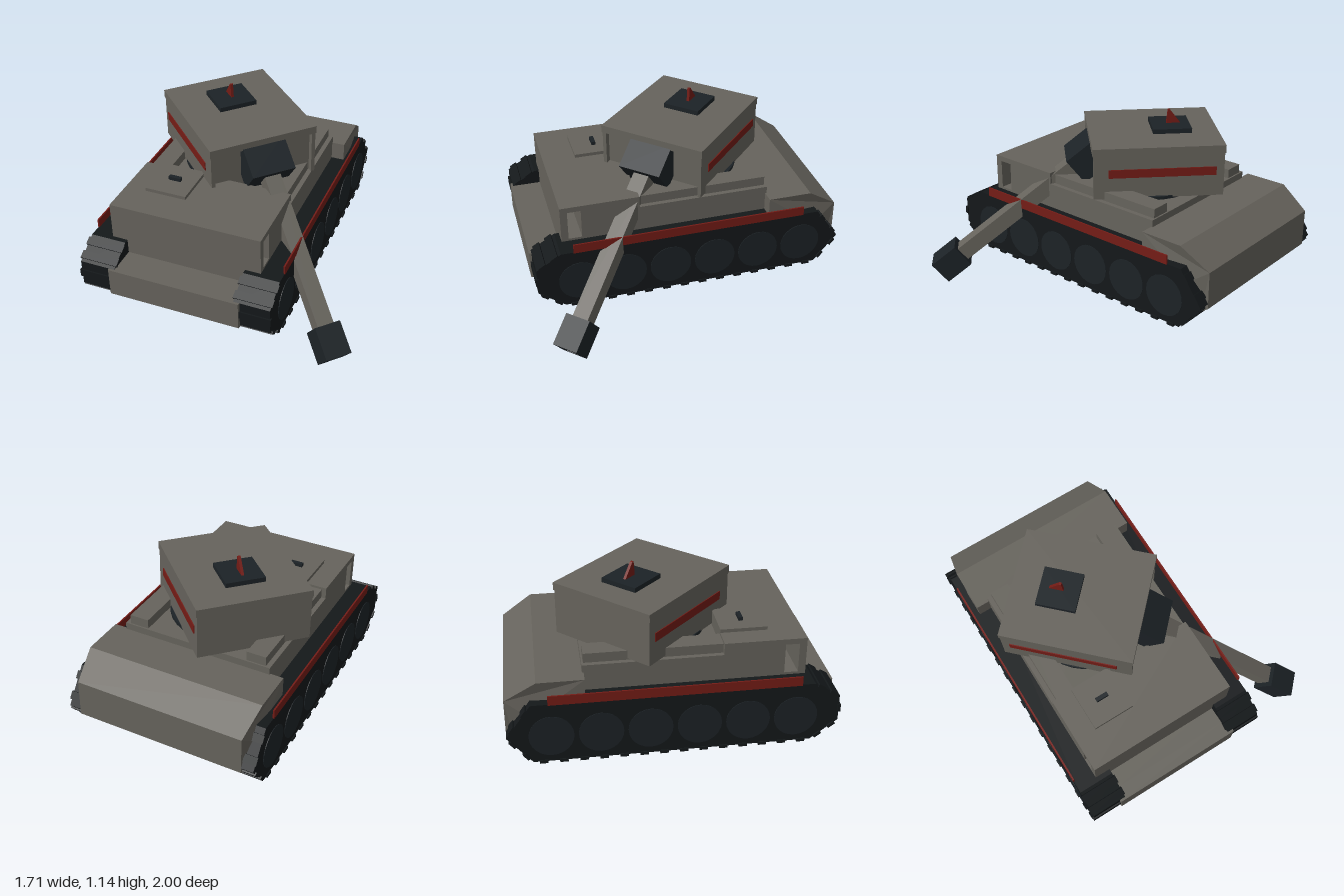
import * as THREE from 'three';

const paint = (color) => new THREE.MeshStandardMaterial({ color, flatShading: true });

export function createModel() {
  const armour = paint(0x66635c), dark = paint(0x1c2226), black = paint(0x14181a), red = paint(0x741c16);
  const root = new THREE.Group();
  root.name = 'tank';
  const MID = -0.23; // centre line of the hull

  const add = (parent, name, geometry, material) => {
    const mesh = new THREE.Mesh(geometry, material);
    mesh.name = name;
    parent.add(mesh);
    return mesh;
  };
  // Box given by its limits on each axis
  const box = (parent, name, material, [x0, x1], [y0, y1], [z0, z1]) => {
    const mesh = add(parent, name, new THREE.BoxGeometry(x1 - x0, y1 - y0, z1 - z0), material);
    mesh.position.set((x0 + x1) / 2, (y0 + y1) / 2, (z0 + z1) / 2);
    return mesh;
  };
  const toPoints = (list) => list.map(([a, b]) => new THREE.Vector2(a, b));
  // Side profile in (z, y), extruded from x0 to x1
  const sideExtrude = (profile, x0, x1, hole) => {
    const shape = new THREE.Shape(toPoints(profile));
    if (hole) shape.holes.push(new THREE.Path(toPoints(hole)));
    const g = new THREE.ExtrudeGeometry(shape, { depth: x1 - x0, bevelEnabled: false });
    return g.rotateY(-Math.PI / 2).translate(x1, 0, 0);
  };

  // Hull: lower tub, upper deck with a slot behind the front plate
  const hull = new THREE.Group();
  hull.name = 'hull';
  root.add(hull);
  box(hull, 'lowerHull', armour, [-0.63, 0.17], [0.235, 0.52], [-0.95, 0.8]);
  add(hull, 'upperHull', sideExtrude(
    [[0.8, 0.42], [0.8, 0.755], [0.3, 0.755], [0.3, 0.68], [-0.54, 0.68], [-0.54, 0.42]], -0.72, 0.26,
    [[0.67, 0.53], [0.755, 0.53], [0.755, 0.72], [0.67, 0.72]]), armour);

  // Rear engine block, narrowing towards the back
  const rear = sideExtrude(
    [[-0.53, 0.45], [-0.53, 0.635], [-0.81, 0.635], [-1, 0.51], [-1, 0.27], [-0.95, 0.235], [-0.85, 0.4]], -0.805, 0.345);
  const p = rear.attributes.position;
  for (let i = 0; i < p.count; i++) {
    if (p.getZ(i) < -0.9) p.setX(i, MID + (p.getX(i) - MID) * 0.945);
  }
  rear.computeVertexNormals();
  add(hull, 'engineBlock', rear, armour);

  // Front bumper, flared past the tracks and tapering downwards
  const bumperShape = new THREE.Shape(toPoints(
    [[-0.39, -0.78], [0.39, -0.78], [0.39, -0.91], [0.45, -0.91], [0.425, -1], [-0.425, -1], [-0.45, -0.91], [-0.39, -0.91]]));
  const bumper = new THREE.ExtrudeGeometry(bumperShape, { depth: 0.185, bevelEnabled: false });
  bumper.rotateX(-Math.PI / 2).translate(MID, 0.235, 0);
  add(hull, 'frontBumper', bumper, armour);

  // Deck hatch and rails beside the turret ring
  box(hull, 'deckHatch', armour, [-0.585, -0.315], [0.75, 0.777], [0.3, 0.59]);
  box(hull, 'hatchHandle', dark, [-0.49, -0.41], [0.77, 0.8], [0.432, 0.458]);
  for (const s of [-1, 1]) {
    const a = MID + s * 0.335, b = MID + s * 0.46;
    box(hull, 'deckRail', armour, [Math.min(a, b), Math.max(a, b)], [0.66, 0.74], [-0.53, 0.3]);
  }
  const ring = add(hull, 'turretRing', new THREE.CylinderGeometry(0.37, 0.37, 0.05, 32), dark);
  ring.position.set(MID, 0.675, -0.1);

  // Running gear on each side
  const belt = [[0.985, 0.42], [0.83, 0.515], [-0.85, 0.515], [-1, 0.305], [-0.85, 0.125], [0.82, 0.125], [0.985, 0.25]];
  for (const s of [-1, 1]) {
    const track = new THREE.Group();
    track.name = s > 0 ? 'leftTrack' : 'rightTrack';
    track.position.x = MID + s * 0.505;
    root.add(track);
    add(track, 'trackBelt', sideExtrude(belt, -0.115, 0.115), black);

    // Road wheels
    for (let i = 0; i < 6; i++) {
      const wheel = add(track, 'roadWheel', new THREE.CylinderGeometry(0.133, 0.133, 0.02, 24), dark);
      wheel.rotation.z = Math.PI / 2;
      wheel.position.set(s * 0.109, 0.3, 0.72 - i * 0.2915);
    }

    // Cleats along the ends and underside
    for (const k of [0, 2, 3, 4, 5, 6]) {
      const [z0, y0] = belt[k], [z1, y1] = belt[(k + 1) % belt.length];
      const length = Math.hypot(z1 - z0, y1 - y0);
      const n = Math.max(1, Math.round(length / 0.12));
      for (let i = 0; i < n; i++) {
        const t = (i + 0.5) / n;
        const cleat = add(track, 'trackCleat', new THREE.BoxGeometry(0.246, 0.02, 0.05), black);
        cleat.position.set(0, y0 + (y1 - y0) * t, z0 + (z1 - z0) * t);
        cleat.rotation.x = -Math.atan2(y1 - y0, z1 - z0);
      }
    }
    box(track, 'sideSkirt', red, s > 0 ? [0.108, 0.118] : [-0.118, -0.108], [0.51, 0.57], [-0.75, 0.75]);
  }

  // Turret, turned to the left
  const turret = new THREE.Group();
  turret.name = 'turret';
  turret.position.set(-0.262, 0, -0.122);
  turret.rotation.y = 0.798;
  root.add(turret);
  box(turret, 'turretBody', armour, [-0.354, 0.354], [0.69, 0.98], [-0.41, 0.375]);
  box(turret, 'turretRoof', armour, [-0.359, 0.359], [0.975, 1.025], [-0.415, 0.415]);
  for (const s of [-1, 1]) {
    const cheek = box(turret, 'turretCheek', armour, [-0.012, 0.012], [0.69, 0.98], [0.37, 0.41]);
    cheek.position.x = s * 0.342;
    const stripe = box(turret, 'turretStripe', red, [-0.005, 0.005], [0.83, 0.885], [-0.36, 0.315]);
    stripe.position.x = s * 0.355;
  }

  // Roof hatch and fin
  box(turret, 'roofHatch', dark, [-0.125, 0.125], [1.02, 1.055], [-0.24, 0.01]);
  add(turret, 'roofFin', sideExtrude([[-0.185, 1.05], [-0.09, 1.05], [-0.1, 1.145], [-0.112, 1.145]], -0.009, 0.009), red);

  // Gun, pitched down; its local z runs along the barrel from the mantlet face
  const gun = new THREE.Group();
  gun.name = 'gun';
  gun.position.set(0, 0.79, 0.507);
  gun.rotation.x = 0.67;
  turret.add(gun);
  box(gun, 'mantlet', dark, [-0.143, 0.143], [-0.095, 0.095], [-0.23, 0]);
  box(gun, 'barrel', armour, [-0.053, 0.053], [-0.05, 0.05], [-0.05, 1.0]);
  const square = (r) => toPoints([[-r, -r], [r, -r], [r, r], [-r, r]]);
  const muzzleShape = new THREE.Shape(square(0.0825));
  muzzleShape.holes.push(new THREE.Path(square(0.045)));
  const muzzle = new THREE.ExtrudeGeometry(muzzleShape, { depth: 0.2, bevelEnabled: false });
  add(gun, 'muzzle', muzzle.translate(0, 0, 0.966), dark);
  box(gun, 'bore', black, [-0.05, 0.05], [-0.05, 0.05], [0.97, 1.12]);

  return root;
}
